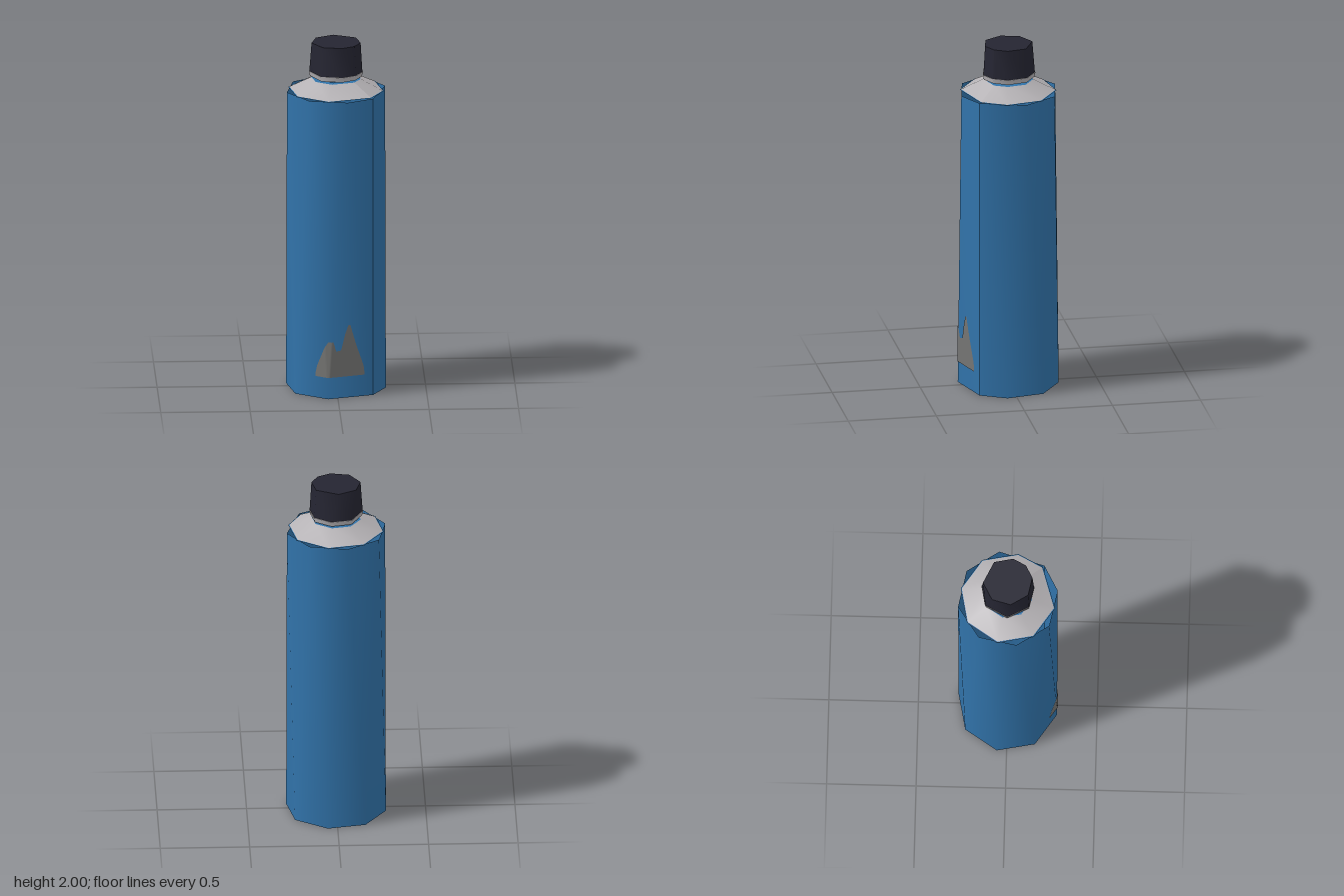
import * as THREE from 'three';

const material = (name, color) =>
  new THREE.MeshStandardMaterial({ name, color, side: THREE.DoubleSide });

// Eight corner angles in degrees, starting at the seam on the front left corner
const SEAM = 45;
const evenRing = (first) => [SEAM, ...Array.from({ length: 7 }, (_, i) => first + 45 * i)];
const RING_HIGH = evenRing(78.75);
const RING_LOW = evenRing(101.25);
const CAP_HIGH = [SEAM, 78.75, 124, 172, 218, 266, 325, 371];
const CAP_LOW = [SEAM, 78.75, 126, 180, 236, 282, 326, 371];

const corner = (deg, r, y) => {
  const a = THREE.MathUtils.degToRad(deg);
  return new THREE.Vector3(r * Math.cos(a), y, r * Math.sin(a));
};

// Skin between an upper and a lower ring; the seam is left split so it shades as an edge
function loft(upper, lower) {
  const positions = [], index = [];
  for (const { angles, r, y } of [upper, lower]) {
    for (const deg of [...angles, SEAM + 360]) positions.push(...corner(deg, r, y).toArray());
  }
  for (let k = 0; k < 8; k++) {
    const low = k + 9;
    index.push(k, k + 1, low, k + 1, low + 1, low);
  }
  const g = new THREE.BufferGeometry();
  g.setAttribute('position', new THREE.Float32BufferAttribute(positions, 3));
  g.setIndex(index);
  g.computeVertexNormals();
  return g;
}

const ring = (angles, r, y) => ({ angles, r, y });

export function createModel() {
  const group = new THREE.Group();
  group.name = 'bottle';
  const blue = material('bottle blue', 0x3173aa);
  const silver = material('silver', 0xb6b3b6);
  const black = material('cap black', 0x252532);
  const grey = material('patch grey', 0x757573);

  const add = (name, geometry, mat) => {
    const mesh = new THREE.Mesh(geometry, mat);
    mesh.name = name;
    group.add(mesh);
  };

  // Open, slightly twisted body tube
  const R = 0.282, H = 1.725;
  add('body', loft(ring(RING_HIGH, R, H), ring(RING_LOW, R, 0)), blue);

  // Shoulder with its thin blue rim and the blue neck opening
  add('shoulderRim', loft(ring(RING_LOW, 0.264, H + 0.002), ring(RING_LOW, 0.27, H)), blue);
  add('shoulder', loft(ring(RING_LOW, 0.14, 1.79), ring(RING_LOW, 0.264, H + 0.002)), silver);
  add('neckOpening', loft(ring(RING_LOW, 0.1, 1.79), ring(RING_LOW, 0.14, 1.79)), blue);

  // Collar under the cap
  add('collar', loft(ring(CAP_LOW, 0.152, 1.832), ring(CAP_LOW, 0.146, 1.804)), silver);
  add('collarTop', loft(ring(CAP_LOW, 0.1, 1.832), ring(CAP_LOW, 0.152, 1.832)), silver);

  // Cap wall and flat lid
  add('capWall', loft(ring(CAP_HIGH, 0.139, 2), ring(CAP_LOW, 0.149, 1.832)), black);
  add('capLid', loft(ring(CAP_HIGH, 0, 2), ring(CAP_HIGH, 0.139, 2)), black);

  // Two-peaked grey patch that hugs the front facets of the body
  const hi = (k) => corner(RING_HIGH[k], R, H);
  const lo = (k) => corner(RING_LOW[k], R, 0);
  const facets = [
    [hi(0), hi(1), lo(0)], [hi(1), lo(1), lo(0)], [hi(1), hi(2), lo(1)],
    [hi(2), lo(2), lo(1)], [hi(2), hi(3), lo(2)],
  ].map((p) => new THREE.Plane().setFromCoplanarPoints(...p));
  const surfaceZ = (x, y) => Math.min(
    ...facets.map((p) => -(p.constant + p.normal.x * x + p.normal.y * y) / p.normal.z));

  const outline = [
    [-0.125, 0.14], [-0.115, 0.19], [-0.075, 0.3], [-0.055, 0.33], [-0.025, 0.33],
    [-0.01, 0.275], [0.018, 0.28], [0.04, 0.37], [0.06, 0.425], [0.07, 0.425],
    [0.085, 0.37], [0.105, 0.3], [0.145, 0.18], [0.15, 0.14],
  ];
  const topAt = (x) => {
    const i = Math.max(1, outline.findIndex((p) => p[0] >= x - 1e-6));
    const [a, b] = [outline[i - 1], outline[i]];
    return THREE.MathUtils.mapLinear(x, a[0], b[0], a[1], b[1]);
  };
  const patch = new THREE.PlaneGeometry(1, 1, 55, 8);
  const pos = patch.attributes.position;
  for (let i = 0; i < pos.count; i++) {
    const x = THREE.MathUtils.lerp(-0.125, 0.15, THREE.MathUtils.clamp(pos.getX(i) + 0.5, 0, 1));
    const y = THREE.MathUtils.lerp(0.125, topAt(x), pos.getY(i) + 0.5);
    pos.setXYZ(i, x, y, surfaceZ(x, y) + 0.004);
  }
  patch.computeVertexNormals();
  add('frontPatch', patch, grey);

  return group;
}
